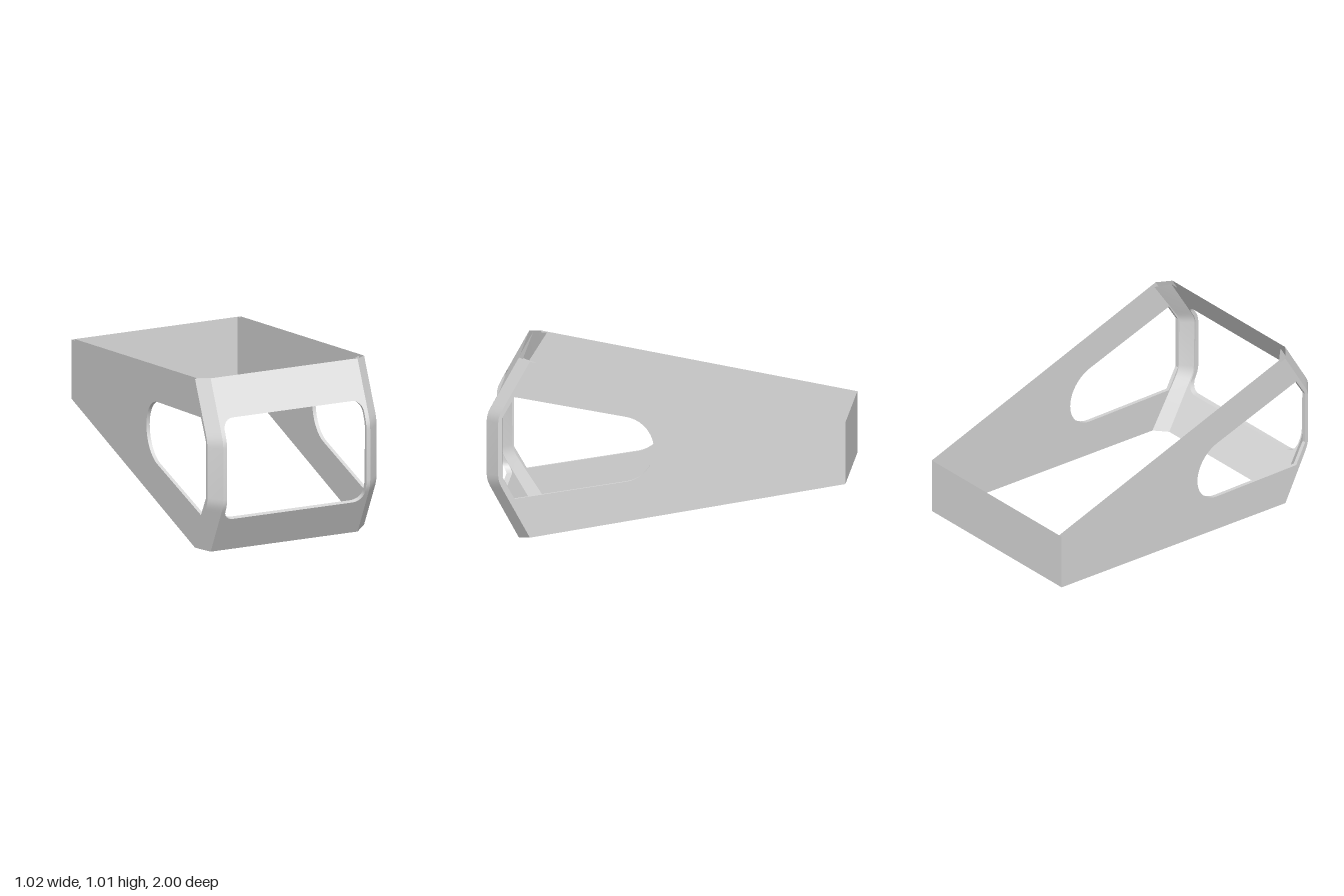
import * as THREE from 'three';
import { toCreasedNormals } from 'three/addons/utils/BufferGeometryUtils.js';

const MID = 0.5075, TOP = 1.015;
const HOLE = { x: 0.42, mid: 0.516, y: 0.296, r: 0.06 }; // front opening: half sizes, centre height, corner radius

// Upper half of the nose profile as [height above middle, z]
const NOSE = [[0, 1], [0.15, 1], [0.172, 0.998], [0.194, 0.992], [0.216, 0.982], [0.24, 0.969], [0.5075, 0.82]];
const noseZ = (y) => {
  const h = Math.abs(y - MID);
  let i = 1;
  while (i < NOSE.length - 1 && h > NOSE[i][0]) i++;
  const [a, b] = [NOSE[i - 1], NOSE[i]];
  return a[1] + (b[1] - a[1]) * (h - a[0]) / (b[0] - a[0]);
};

// Half width of the front opening at height y
const holeX = (y) => {
  const over = Math.max(0, Math.abs(y - HOLE.mid) - (HOLE.y - HOLE.r));
  return HOLE.x - HOLE.r + Math.sqrt(Math.max(0, HOLE.r ** 2 - over ** 2));
};

// Heights used by the pillars: nose bends and opening corners
const openRows = [];
for (const s of [-1, 1]) {
  for (const [h] of NOSE.slice(1, 6)) openRows.push(MID + s * h);
  for (let i = 0; i <= 6; i++) {
    openRows.push(HOLE.mid + s * (HOLE.y - HOLE.r + HOLE.r * Math.sin(i * Math.PI / 12)));
  }
}
openRows.sort((a, b) => a - b);
const allRows = [0, ...openRows, TOP];

// Sheet between two point lists of equal length
function strip(a, b) {
  const pos = [];
  for (let i = 0; i < a.length - 1; i++) {
    pos.push(...a[i], ...b[i], ...b[i + 1], ...a[i], ...b[i + 1], ...a[i + 1]);
  }
  const g = new THREE.BufferGeometry();
  g.setAttribute('position', new THREE.Float32BufferAttribute(pos, 3));
  g.computeVertexNormals();
  return toCreasedNormals(g, 0.4);
}

// Skins: half widths at front and side, height scales, and setbacks
// behind the nose profile at the [bottom, middle, top]
const OUTER = {
  name: 'outer', xf: 0.443, xs: 0.51, frontScale: 1, sideScale: 0.976,
  back: [0, 0, 0], sideBack: [0.065, 0.07, 0.065],
};
const INNER = {
  name: 'inner', xf: 0.428, xs: 0.49, frontScale: 0.988, sideScale: 0.962,
  back: [0.04, 0.022, 0.022], sideBack: [0.11, 0.072, 0.095],
};
const setback = ([bottom, middle, top], y) => {
  const t = (y - MID) / MID;
  return middle + ((t > 0 ? top : bottom) - middle) * Math.abs(t);
};
const front = (skin, x, y) => [x, MID + (y - MID) * skin.frontScale, noseZ(y) - setback(skin.back, y)];
const corner = (skin, s, y) => [s * skin.xs, MID + (y - MID) * skin.sideScale, noseZ(y) - setback(skin.sideBack, y)];

// Side opening outline as [z, y]: pointed front, round back
function sideHole() {
  const pts = [[0.91, 0.35], [0.91, 0.683], [0.84, 0.803]];
  const tilt = 0.182, r = 0.185, cz = 0.25;
  for (let i = 0; i <= 20; i++) {
    const t = Math.PI / 2 + tilt + (Math.PI - 2 * tilt) * i / 20;
    pts.push([cz + r * Math.cos(t), HOLE.mid + r * Math.sin(t)]);
  }
  pts.push([0.84, 0.23]);
  return pts;
}

export function createModel() {
  const model = new THREE.Group();
  const grey = new THREE.MeshStandardMaterial({ color: 0xd8d8d8, side: THREE.DoubleSide });
  grey.name = 'light grey';
  const add = (name, geo) => {
    const m = new THREE.Mesh(geo, grey);
    m.name = name;
    model.add(m);
  };
  const hole = sideHole();

  for (const skin of [OUTER, INNER]) {
    // Cross bars above and below the front opening
    for (const [name, y0, y1] of [['LowerBar', 0, HOLE.mid - HOLE.y], ['UpperBar', HOLE.mid + HOLE.y, TOP]]) {
      add(skin.name + name, strip([y0, y1].map((y) => front(skin, -skin.xf, y)), [y0, y1].map((y) => front(skin, skin.xf, y))));
    }
    for (const s of [-1, 1]) {
      // Front pillar beside the opening
      const inside = openRows.map((y) => front(skin, s * holeX(y), y));
      const outside = openRows.map((y) => front(skin, s * skin.xf, y));
      add(skin.name + 'Pillar', s > 0 ? strip(inside, outside) : strip(outside, inside));

      // Bevelled corner running top to bottom
      const a = allRows.map((y) => front(skin, s * skin.xf, y));
      const b = allRows.map((y) => corner(skin, s, y));
      add(skin.name + 'Bevel', s > 0 ? strip(a, b) : strip(b, a));

      // Tapering side wall with its opening
      const outline = b.map((p) => new THREE.Vector2(p[2], p[1]));
      outline.push(new THREE.Vector2(-1, 0.681), new THREE.Vector2(-1, 0.334));
      const shape = new THREE.Shape(outline);
      shape.holes.push(new THREE.Path(hole.map((p) => new THREE.Vector2(...p))));
      const wall = new THREE.ShapeGeometry(shape);
      wall.rotateY(-Math.PI / 2);
      wall.translate(s * skin.xs, 0, 0);
      // Outer walls face away from the middle, inner walls towards it
      if (s > 0 === (skin === OUTER)) wall.index.array.reverse();
      wall.computeVertexNormals();
      add(skin.name + 'SideWall', wall);
    }
  }

  // Edge linings of the side openings
  const ring = [...hole, hole[0]];
  for (const s of [-1, 1]) {
    add('sideOpeningEdge', strip(ring.map(([z, y]) => [s * OUTER.xs, y, z]), ring.map(([z, y]) => [s * INNER.xs, y, z])));
  }

  // Edge lining of the front opening
  const loop = [
    ...openRows.map((y) => [holeX(y), y]),
    ...[...openRows].reverse().map((y) => [-holeX(y), y]),
  ];
  loop.push(loop[0]);
  add('frontOpeningEdge', strip(loop.map(([x, y]) => front(OUTER, x, y)), loop.map(([x, y]) => front(INNER, x, y))));

  // Flat back wall
  const back = new THREE.PlaneGeometry(2 * OUTER.xs, 0.347);
  back.rotateY(Math.PI);
  back.translate(0, MID, -1);
  add('backWall', back);

  return model;
}
